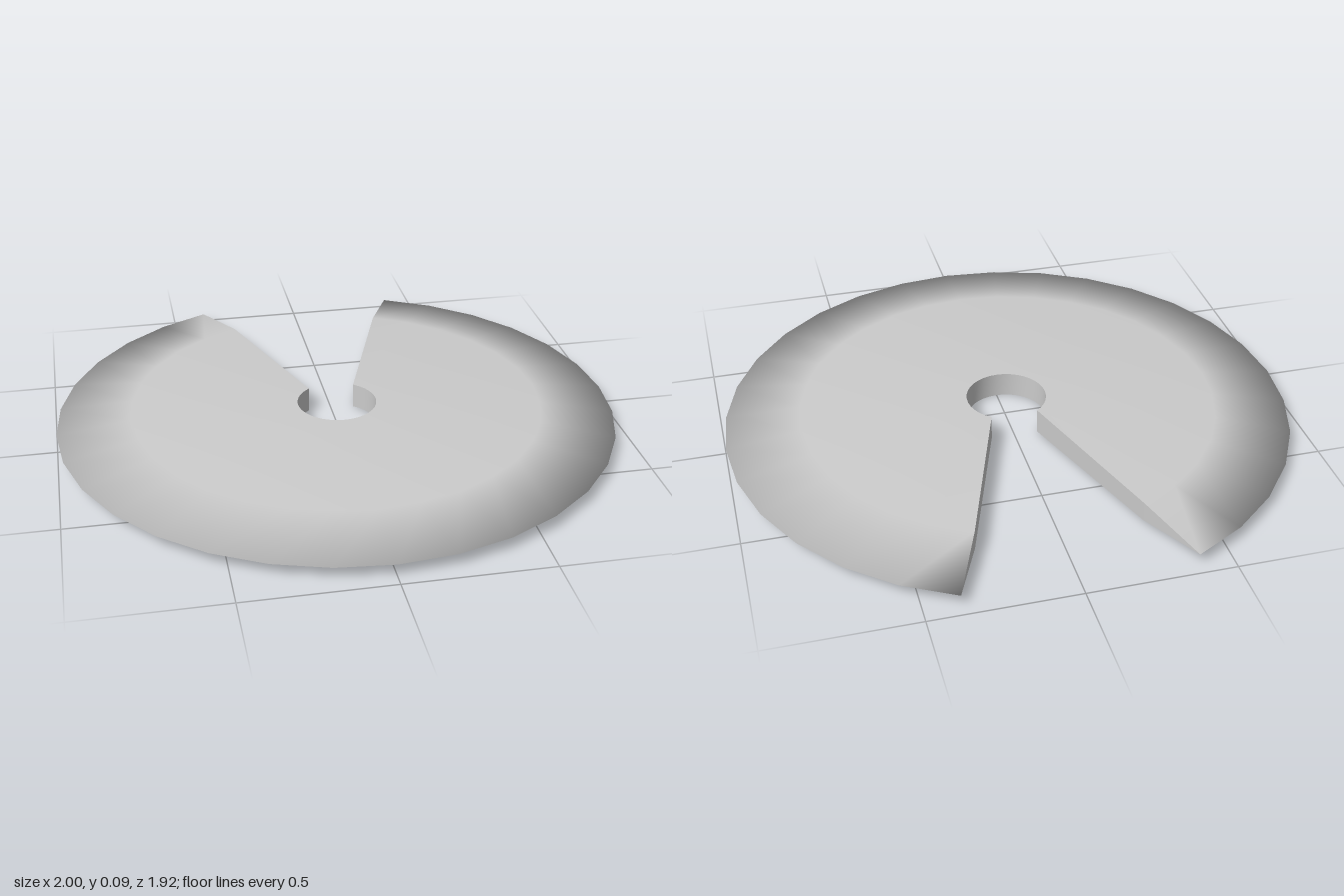
import * as THREE from 'three';

const STEPS = 28;                 // 28 of 32 sectors; the rest is the notch
const GAP = Math.PI / 8;          // half angle of the notch at the rim
const HOLE_GAP = 0.62;            // half angle of the notch at the hole
const MID = 0.045;                // height of the sharp rim

// Point at an angle measured from the back, around a centre on the z axis
function polar(r, gap, t, y, cz) {
  const a = gap + (2 * Math.PI - 2 * gap) * t;
  return [r * Math.sin(a), y, cz - r * Math.cos(a)];
}

// Cross-section: hole top, shoulder top, rim, shoulder bottom, hole bottom
function section(t) {
  return [
    polar(0.142, HOLE_GAP, t, MID + 0.045, -0.024),
    polar(0.737, GAP, t, MID + 0.035, -0.04),
    polar(1, GAP, t, MID, -0.04),
    polar(0.737, GAP, t, MID - 0.035, -0.04),
    polar(0.142, HOLE_GAP, t, MID - 0.045, -0.024),
  ];
}

function build(points, index, flat) {
  let geo = new THREE.BufferGeometry();
  geo.setAttribute('position', new THREE.Float32BufferAttribute(points.flat(), 3));
  geo.setIndex(index);
  if (flat) geo = geo.toNonIndexed();
  geo.computeVertexNormals();
  return geo;
}

// Smooth skin through a list of open cross-sections
function skin(rows) {
  const n = rows[0].length, index = [];
  for (let i = 0; i < rows.length - 1; i++) {
    for (let j = 0; j < n - 1; j++) {
      const a = i * n + j, b = a + n;
      index.push(a, b, b + 1, a, b + 1, a + 1);
    }
  }
  return build(rows.flat(), index, false);
}

export function createModel() {
  const group = new THREE.Group();
  group.name = 'notchedDisc';
  const material = new THREE.MeshStandardMaterial({ color: 0xcccccc });
  const add = (name, geo) => {
    const mesh = new THREE.Mesh(geo, material);
    mesh.name = name;
    group.add(mesh);
  };

  const rows = [];
  for (let i = 0; i <= STEPS; i++) rows.push(section(i / STEPS));

  // Top and bottom faces, rounded together over the rim
  add('discBody', skin(rows));

  // Wall of the central hole
  add('holeWall', skin(rows.map((s) => [s[4], s[0]])));

  // Flat walls on both sides of the notch
  const wall = [0, 1, 3, 0, 3, 4, 1, 2, 3];
  add('notchWallLeft', build(rows[0], wall, true));
  add('notchWallRight', build(rows[STEPS], wall.slice().reverse(), true));

  return group;
}
